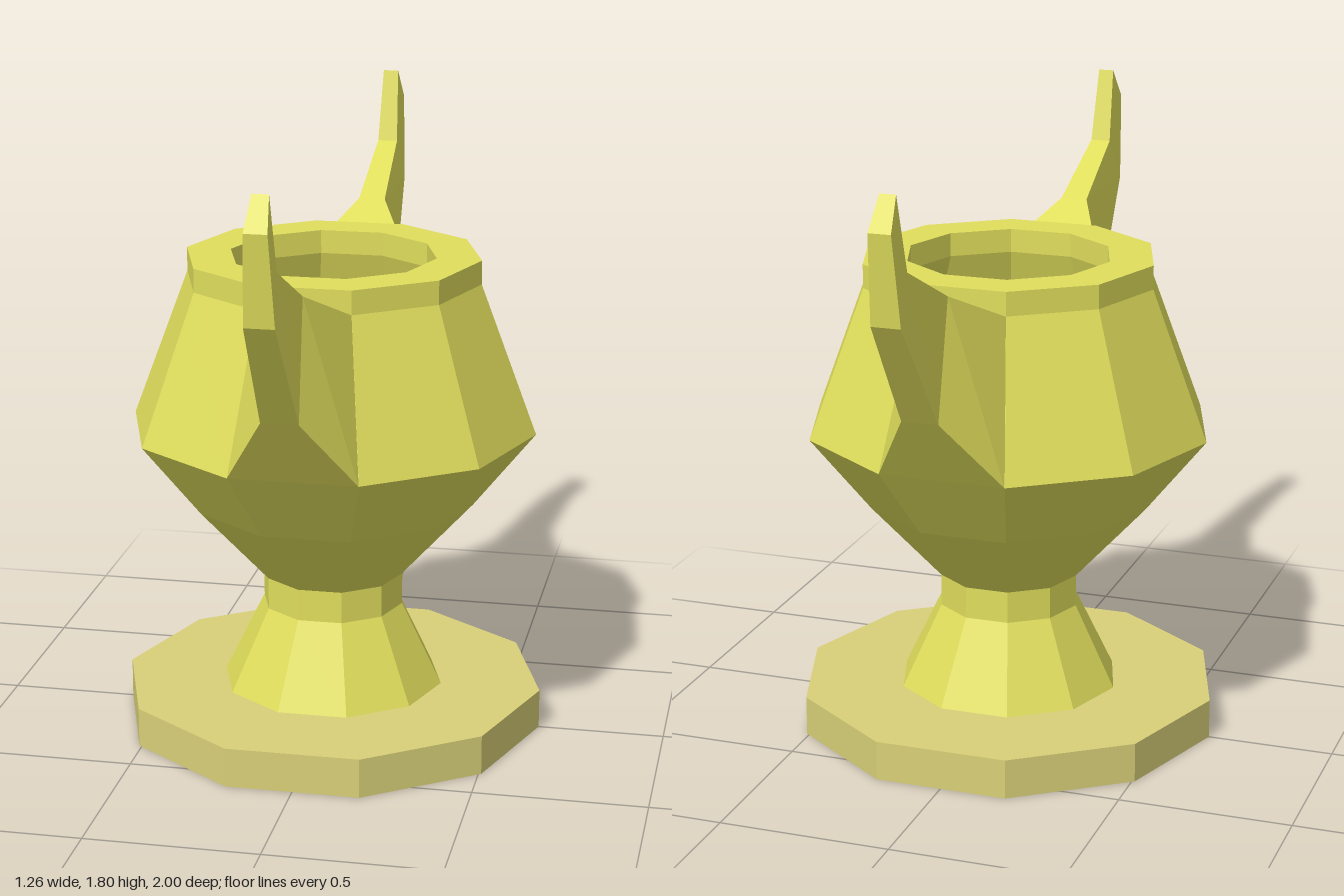
import * as THREE from 'three';

const SIDES = 10;
const START = Math.PI / 2; // puts a corner of the decagon on the x axis

const metal = (color) => new THREE.MeshStandardMaterial({ color, flatShading: true, side: THREE.DoubleSide });

function lathe(name, profile, material) {
  const points = profile.map(([r, y]) => new THREE.Vector2(r, y));
  const mesh = new THREE.Mesh(new THREE.LatheGeometry(points, SIDES, START), material);
  mesh.name = name;
  return mesh;
}

// Tapering horn lofted through four-cornered sections.
// Section: lower edge [half width, y, z], upper edge [half width, y, z]
function hornGeometry(sections) {
  const positions = [];
  const index = [];
  for (const [[wl, yl, zl], [wu, yu, zu]] of sections) {
    positions.push(-wl, yl, zl, wl, yl, zl, wu, yu, zu, -wu, yu, zu);
  }
  for (let i = 0; i < sections.length - 1; i++) {
    for (let k = 0; k < 4; k++) {
      const a = i * 4 + k;
      const b = i * 4 + (k + 1) % 4;
      index.push(a, b, b + 4, a, b + 4, a + 4);
    }
  }
  const e = (sections.length - 1) * 4;
  index.push(e, e + 1, e + 2, e, e + 2, e + 3);
  const geometry = new THREE.BufferGeometry();
  geometry.setAttribute('position', new THREE.Float32BufferAttribute(positions, 3));
  geometry.setIndex(index);
  const flat = geometry.toNonIndexed();
  flat.computeVertexNormals();
  return flat;
}

export function createModel() {
  const group = new THREE.Group();
  group.name = 'goblet';
  const gold = metal(0xe0de5c);
  const paleGold = metal(0xd8d078);

  // Flat ten-sided plinth
  const plinth = new THREE.Mesh(
    new THREE.CylinderGeometry(0.628, 0.628, 0.117, SIDES, 1, false, START), paleGold);
  plinth.name = 'plinth';
  plinth.position.y = 0.0585;
  group.add(plinth);

  // Flared foot and neck
  group.add(lathe('stem', [[0.33, 0.117], [0.21, 0.365], [0.21, 0.46]], gold));

  // Hollow bowl: outer wall, rim, inner wall and floor
  group.add(lathe('bowl', [
    [0.21, 0.46], [0.42, 0.69], [0.6, 0.915], [0.434, 1.355], [0.434, 1.425],
    [0.303, 1.425], [0.303, 1.355], [0.46, 0.915], [0.305, 0.7], [0, 0.7],
  ], gold));

  // Horn handles growing out of the front and back faces of the bowl
  const horn = hornGeometry([
    [[0.185, 0.915, 0.571], [0.134, 1.355, 0.413]],
    [[0.053, 1.13, 0.73], [0.04, 1.455, 0.615]],
    [[0.042, 1.455, 0.965], [0.03, 1.585, 0.885]],
    [[0.032, 1.71, 1.0], [0.023, 1.8, 0.938]],
  ]);
  ['frontHandle', 'backHandle'].forEach((name, i) => {
    const handle = new THREE.Mesh(horn, gold);
    handle.name = name;
    handle.rotation.y = i * Math.PI;
    group.add(handle);
  });

  return group;
}
